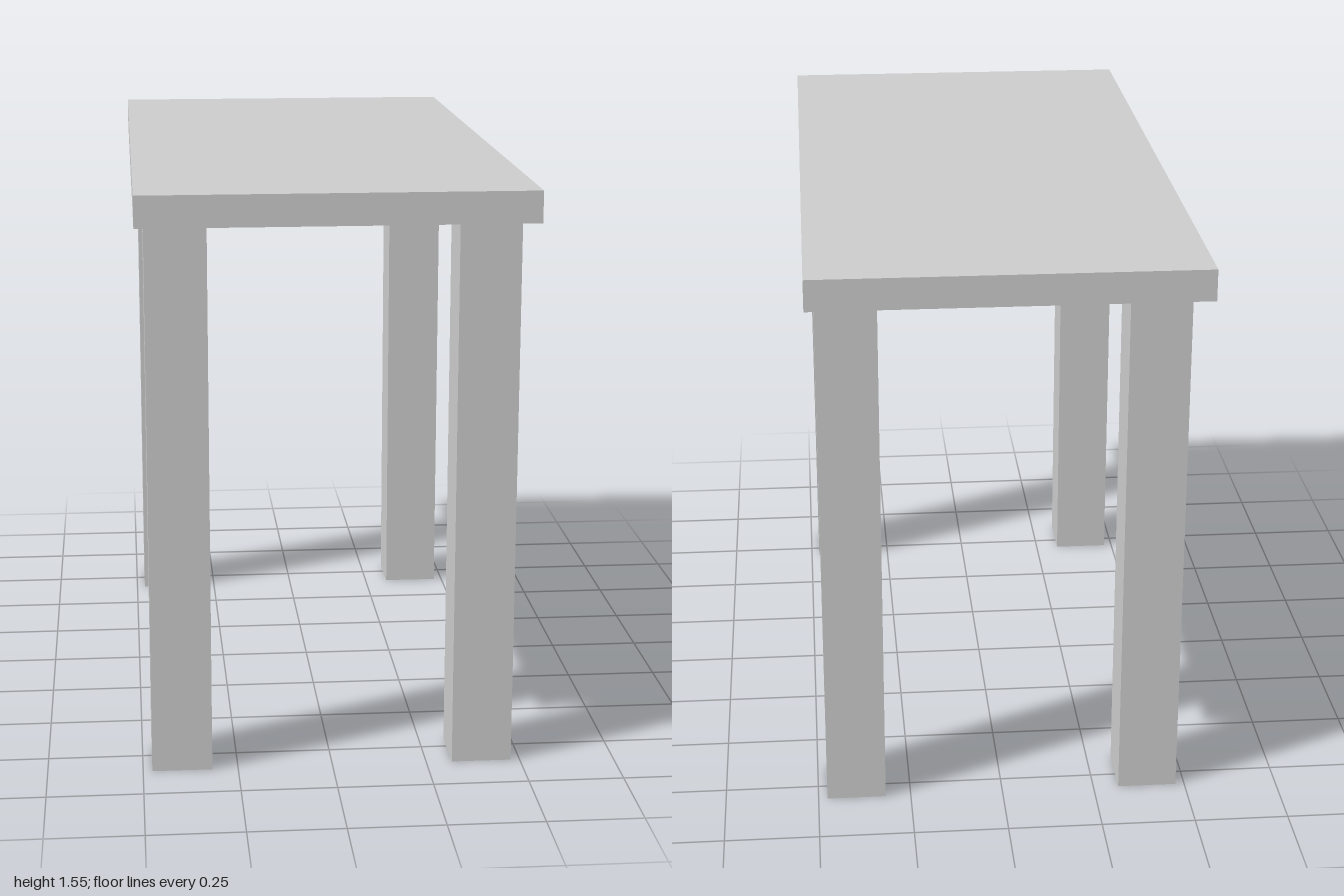
import * as THREE from 'three';

const LEG_HEIGHT = 1.468;
const LEG_WIDTH = 0.158;
const TOP_THICKNESS = 0.081;

export function createModel() {
  const table = new THREE.Group();
  table.name = 'table';
  const material = new THREE.MeshStandardMaterial({ color: 0xcccccc });

  // Box standing on height y
  const addBox = (name, w, h, d, x, y, z) => {
    const mesh = new THREE.Mesh(new THREE.BoxGeometry(w, h, d), material);
    mesh.name = name;
    mesh.position.set(x, y + h / 2, z);
    table.add(mesh);
  };

  // Slab top
  addBox('tableTop', 1, TOP_THICKNESS, 2, 0, LEG_HEIGHT, 0);

  // Four square legs; the front pair sits slightly closer to the edge
  for (const [end, z] of [['front', 0.777], ['back', -0.735]]) {
    for (const [side, x] of [['Left', 0.397], ['Right', -0.397]]) {
      addBox(`${end}${side}Leg`, LEG_WIDTH, LEG_HEIGHT, LEG_WIDTH, x, 0, z);
    }
  }
  return table;
}
